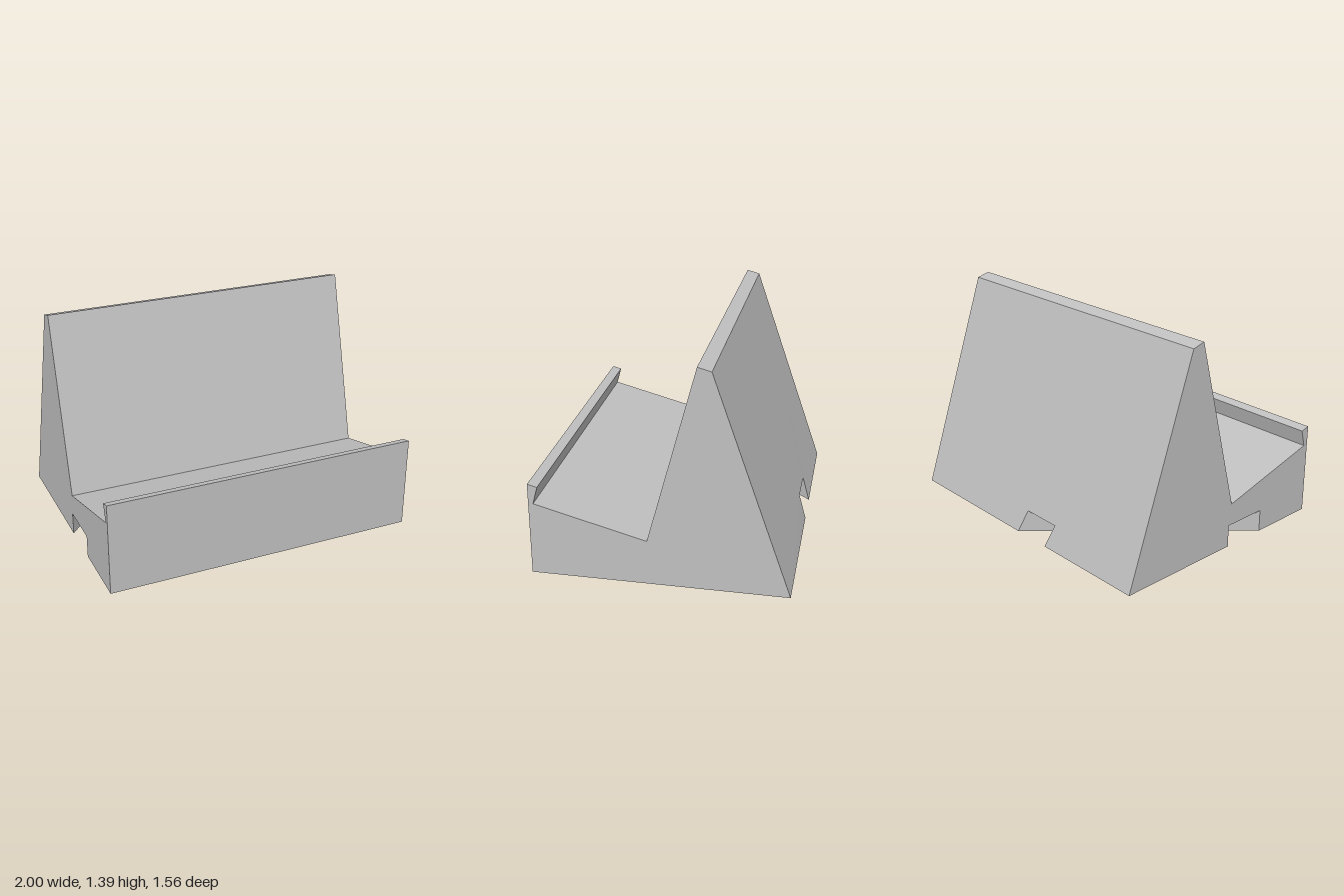
import * as THREE from 'three';

// Flat polygon, triangulated and wound to face the outward direction
function addFace(positions, points, outward) {
  const pts = points.map((p) => new THREE.Vector3(...p));
  const out = new THREE.Vector3(...outward);
  const size = outward.map(Math.abs);
  const drop = size.indexOf(Math.max(...size));
  const [u, v] = [0, 1, 2].filter((a) => a !== drop);
  const flat = points.map((p) => new THREE.Vector2(p[u], p[v]));
  for (const [a, b, c] of THREE.ShapeUtils.triangulateShape(flat, [])) {
    const n = pts[b].clone().sub(pts[a]).cross(pts[c].clone().sub(pts[a]));
    const order = n.dot(out) > 0 ? [a, b, c] : [a, c, b];
    for (const i of order) positions.push(...points[i]);
  }
}

function makeMesh(name, faces, material) {
  const positions = [];
  for (const [points, outward] of faces) addFace(positions, points, outward);
  const geometry = new THREE.BufferGeometry();
  geometry.setAttribute('position', new THREE.Float32BufferAttribute(positions, 3));
  geometry.computeVertexNormals();
  const mesh = new THREE.Mesh(geometry, material);
  mesh.name = name;
  return mesh;
}

export function createModel() {
  const grey = new THREE.MeshStandardMaterial({ color: 0xc0c0c0 });
  grey.name = 'grey plastic';

  // Side profile as [z, y]: front wall, lip, shelf, backrest, top, rear foot
  const profile = [
    [0.78, 0], [0.78, 0.59], [0.72, 0.575], [0.75, 0.465],
    [0.07, 0.285], [-0.225, 1.387], [-0.307, 1.365], [-0.78, 0],
  ];
  const side = (x) => profile.map(([z, y]) => [x, y, z]);

  // Corners of the diagonal cable channel under the base
  const h = 0.143;
  const inset = 0.049; // how far the sloped back recedes at channel height
  const shift = inset * 0.908; // sideways travel along the channel
  const backIn = [0.02, 0, -0.78], backOut = [-0.243, 0, -0.78];
  const backInTop = [0.02 - shift, h, -0.78 + inset];
  const backOutTop = [-0.243 - shift, h, -0.78 + inset];
  const sideFront = [-1, 0, 0.345], sideRear = [-1, 0, 0.052];
  const sideFrontTop = [-1, h, 0.345], sideRearTop = [-1, h, 0.052];

  // Long faces between neighbouring profile points
  const bodyFaces = [];
  for (let i = 0; i < 6; i++) {
    const [z0, y0] = profile[i], [z1, y1] = profile[i + 1];
    bodyFaces.push([
      [[-1, y0, z0], [1, y0, z0], [1, y1, z1], [-1, y1, z1]],
      [0, z0 - z1, y1 - y0],
    ]);
  }
  bodyFaces.push(
    // Plain end and the end with the channel mouth
    [side(1), [1, 0, 0]],
    [[...side(-1), sideRear, sideRearTop, sideFrontTop, sideFront], [-1, 0, 0]],
    // Sloped back with the other channel mouth
    [[[1, 0, -0.78], [1, 1.365, -0.307], [-1, 1.365, -0.307], [-1, 0, -0.78],
      backOut, backOutTop, backInTop, backIn], [0, 0, -1]],
    // Underside on both sides of the channel
    [[[1, 0, -0.78], [1, 0, 0.78], [-1, 0, 0.78], sideFront, backIn], [0, -1, 0]],
    [[backOut, sideRear, [-1, 0, -0.78]], [0, -1, 0]],
  );

  // Channel ceiling and its two walls
  const channelFaces = [
    [[backInTop, backOutTop, sideRearTop, sideFrontTop], [0, -1, 0]],
    [[backIn, backInTop, sideFrontTop, sideFront], [-0.74, 0, -0.67]],
    [[backOut, backOutTop, sideRearTop, sideRear], [0.74, 0, 0.67]],
  ];

  const group = new THREE.Group();
  group.name = 'deviceStand';
  group.add(makeMesh('standBody', bodyFaces, grey));
  group.add(makeMesh('cableChannel', channelFaces, grey));
  return group;
}
